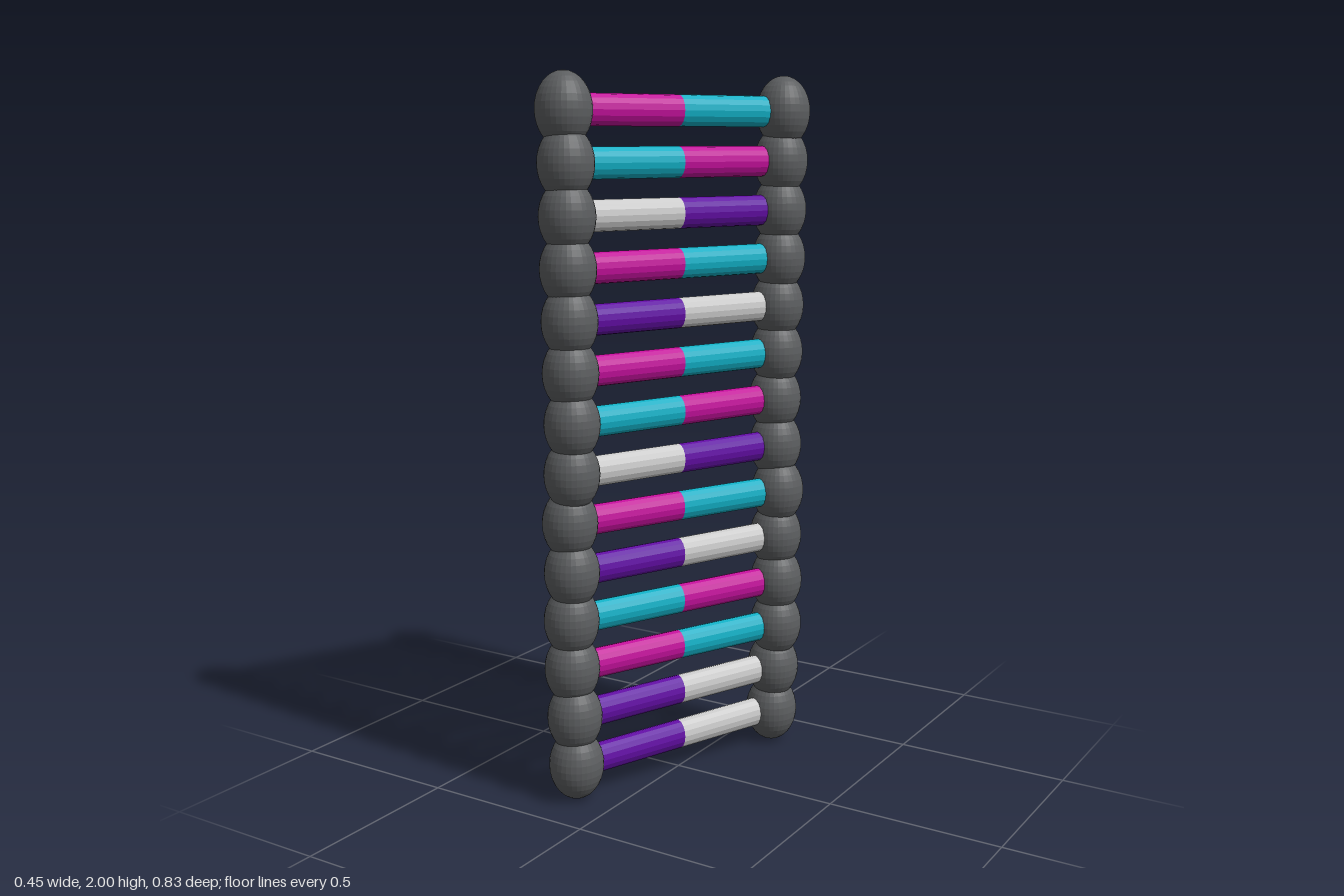
import * as THREE from 'three';

const STRETCH = 1.3;      // everything is taller than it is wide
const SPAN = 0.36;        // distance of each bead from the central axis
const BEAD_R = 0.077;
const ROD_R = 0.033;

const paint = (color) => new THREE.MeshStandardMaterial({ color, flatShading: true });
const materials = {
  D: paint(0x5c5e60), // dark beads
  M: paint(0xc4109c), // magenta
  T: paint(0x12b0c6), // teal
  P: paint(0x620ea4), // violet
  G: paint(0xc0c0c0), // light grey
};

// Rungs from bottom to top: colour of the front half, then of the back half
const PAIRS = ['PG', 'PG', 'MT', 'TM', 'PG', 'MT', 'GP', 'TM', 'MT', 'PG', 'MT', 'GP', 'TM', 'MT'];
// Sideways lean of each rung (x of its back bead)
const LEAN = [0.127, 0.132, 0.142, 0.142, 0.137, 0.143, 0.131, 0.127, 0.131, 0.132, 0.136, 0.137, 0.14, 0.147];

export function createModel() {
  const model = new THREE.Group();
  model.name = 'twistedLadder';

  const beadGeo = new THREE.SphereGeometry(BEAD_R, 32, 16);
  beadGeo.scale(1, STRETCH, 1);
  // Half rung running from the centre out along +z
  const rodGeo = new THREE.CylinderGeometry(ROD_R, ROD_R, SPAN, 16);
  rodGeo.rotateX(Math.PI / 2);
  rodGeo.translate(0, 0, SPAN / 2);
  rodGeo.scale(1, STRETCH, 1);

  PAIRS.forEach((pair, i) => {
    const rung = new THREE.Group();
    rung.name = `rung${i + 1}`;
    rung.position.y = 0.1 + (i * 1.8) / (PAIRS.length - 1);
    rung.rotation.y = -Math.asin(LEAN[i] / SPAN);

    // Front half, then the same turned half a circle for the back
    ['front', 'back'].forEach((side, s) => {
      const half = new THREE.Group();
      half.name = `${side}Half`;
      half.rotation.y = s * Math.PI;

      const rod = new THREE.Mesh(rodGeo, materials[pair[s]]);
      rod.name = `${side}Rod`;
      const bead = new THREE.Mesh(beadGeo, materials.D);
      bead.name = `${side}RailBead`;
      bead.position.z = SPAN;

      half.add(rod, bead);
      rung.add(half);
    });
    model.add(rung);
  });

  return model;
}
